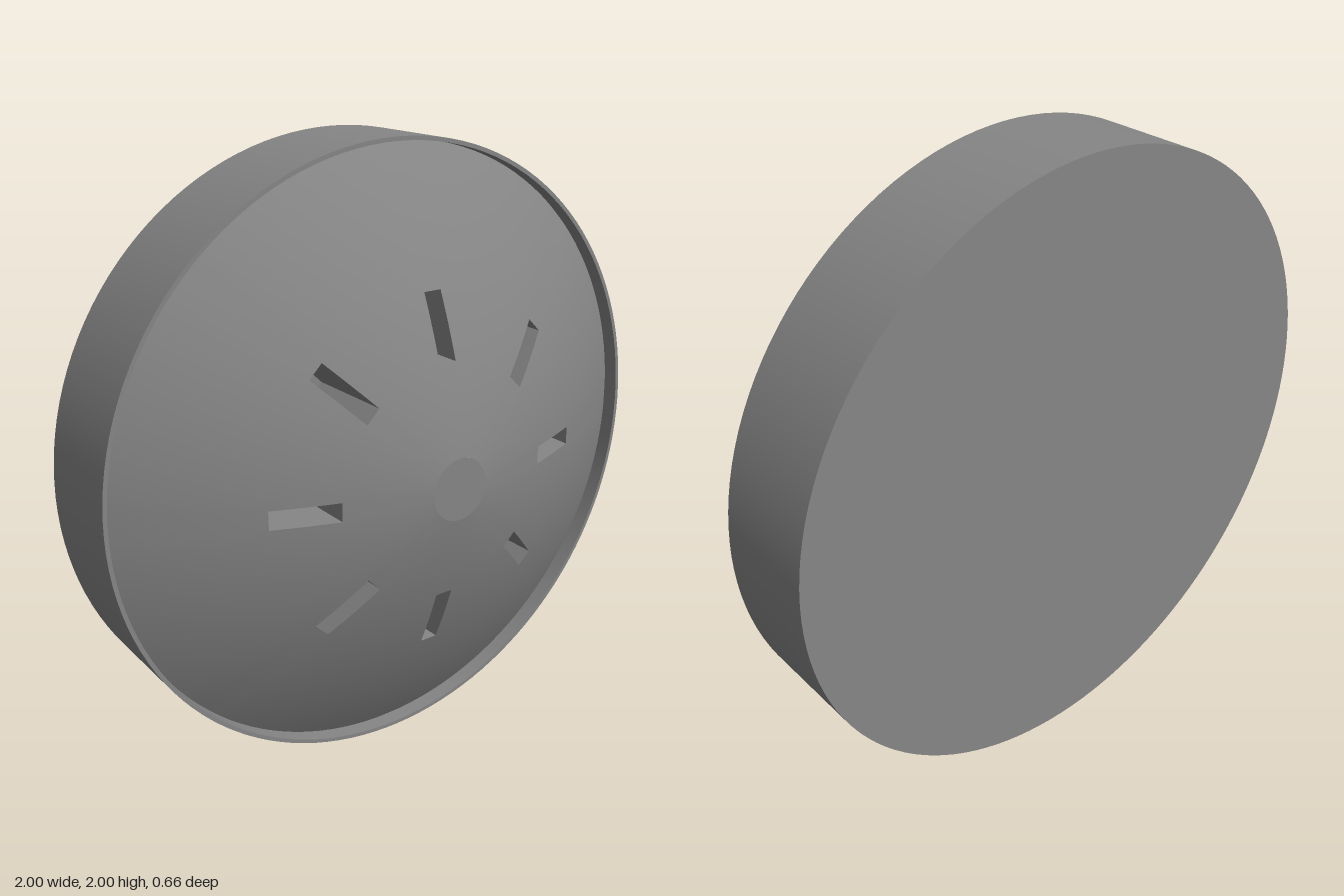
import * as THREE from 'three';
import { toCreasedNormals } from 'three/addons/utils/BufferGeometryUtils.js';

const SLOTS = 8, STEP = (Math.PI * 2) / SLOTS;
const R_CAP = 0.1, R_IN = 0.38, R_OUT = 0.58, R_RIM = 0.987;
const HALF_W = 0.03, SLOT_FLOOR = -0.04, BACK = -0.33, LIP = 0.015;

// height of the dome at radius r
const domeZ = (r) => 0.33 - 0.173 * (r - R_CAP) - 0.274 * (r - R_CAP) ** 2;

// polar grid whose columns follow the slot sides, leaving the slots open
function domeGeometry() {
  const radii = [R_CAP];
  const addRows = (to, n) => {
    const from = radii[radii.length - 1];
    for (let i = 1; i <= n; i++) radii.push(from + ((to - from) * i) / n);
  };
  addRows(R_IN, 8);
  addRows(R_OUT, 6);
  addRows(R_RIM + 0.004, 12);

  const between = 14, perSector = between + 1, cols = perSector * SLOTS;
  const pos = [], index = [];
  for (const r of radii) {
    const w = Math.asin(HALF_W / THREE.MathUtils.clamp(r, R_IN, R_OUT));
    for (let c = 0; c < cols; c++) {
      const k = c % perSector;
      const local = k === 0 ? -w : w + ((STEP - 2 * w) * (k - 1)) / between;
      const a = Math.floor(c / perSector) * STEP + local;
      pos.push(r * Math.cos(a), r * Math.sin(a), domeZ(r));
    }
  }
  for (let i = 0; i < radii.length - 1; i++) {
    for (let c = 0; c < cols; c++) {
      if (c % perSector === 0 && i >= 8 && i < 14) continue; // slot opening
      const n = (c + 1) % cols;
      const a = i * cols + c, b = (i + 1) * cols + c;
      const d = i * cols + n, e = (i + 1) * cols + n;
      index.push(a, b, e, a, e, d);
    }
  }
  const g = new THREE.BufferGeometry();
  g.setAttribute('position', new THREE.Float32BufferAttribute(pos, 3));
  g.setIndex(index);
  g.computeVertexNormals();
  return g;
}

// open box turned inside out, its mouth fitted to the dome
function slotGeometry() {
  const g = new THREE.BoxGeometry(R_OUT - R_IN, HALF_W * 2, 1, 6, 1, 1);
  g.translate((R_IN + R_OUT) / 2, 0, 0);
  const p = g.attributes.position;
  for (let i = 0; i < p.count; i++) {
    const r = p.getX(i);
    p.setX(i, Math.sqrt(r * r - HALF_W * HALF_W));
    p.setZ(i, p.getZ(i) > 0 ? domeZ(r) : SLOT_FLOOR);
  }
  const mouth = g.groups[4];
  const kept = Array.from(g.index.array).filter(
    (_, i) => i < mouth.start || i >= mouth.start + mouth.count);
  g.setIndex(kept.reverse());
  g.clearGroups();
  g.computeVertexNormals();
  return g;
}

export function createModel() {
  const model = new THREE.Group();
  model.name = 'slottedDomeDisc';
  const material = new THREE.MeshStandardMaterial({ color: 0x868686 });

  const body = new THREE.Group();
  body.name = 'body';
  body.position.y = 1;
  model.add(body);
  const add = (name, geometry) => {
    const mesh = new THREE.Mesh(geometry, material);
    mesh.name = name;
    body.add(mesh);
    return mesh;
  };

  // drum with flat back and thin raised lip
  const profile = [[0, BACK], [1, BACK], [1, LIP], [R_RIM, LIP], [R_RIM, -0.06]]
    .map(([r, z]) => new THREE.Vector2(r, z));
  const drum = new THREE.LatheGeometry(profile, 128).rotateX(Math.PI / 2);
  add('drum', toCreasedNormals(drum, 0.5));

  // domed front and its small flat centre
  add('dome', domeGeometry());
  add('centreCap', new THREE.CircleGeometry(R_CAP, 96)).position.z = domeZ(R_CAP);

  // ring of radial slots
  const slot = slotGeometry();
  for (let i = 0; i < SLOTS; i++) add('slot', slot).rotation.z = i * STEP;

  return model;
}
